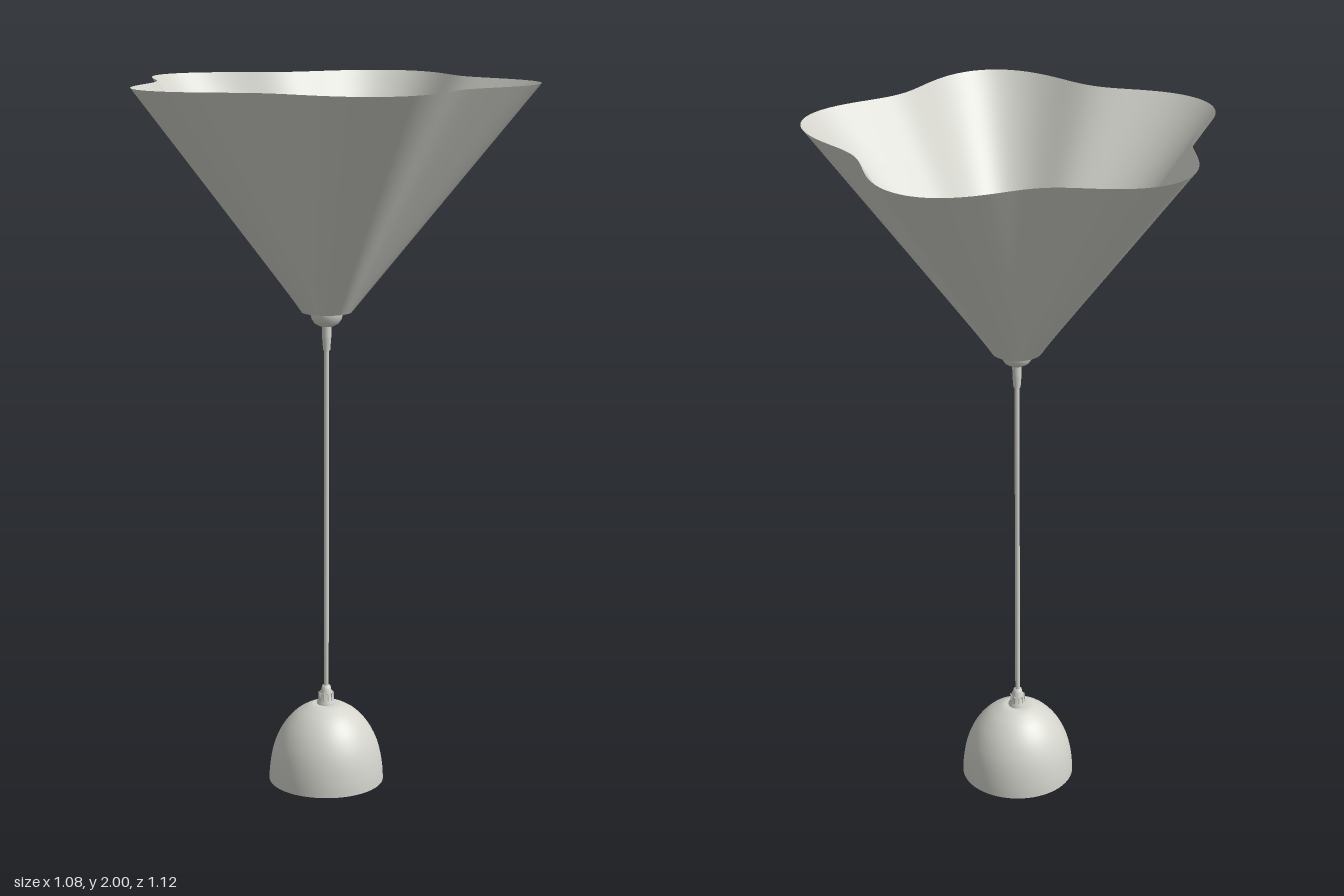
import * as THREE from 'three';

const CX = 0.035; // lamp axis; the lobed rim is not symmetric in x

export function createModel() {
  const model = new THREE.Group();
  const enamel = new THREE.MeshStandardMaterial({ color: 0xd4d4cd, side: THREE.DoubleSide });
  enamel.name = 'warm white enamel';

  const axis = new THREE.Group();
  axis.name = 'pendantLamp';
  axis.position.x = CX;
  model.add(axis);

  const add = (name, geometry, x = 0, y = 0, z = 0) => {
    const mesh = new THREE.Mesh(geometry, enamel);
    mesh.name = name;
    mesh.position.set(x, y, z);
    axis.add(mesh);
    return mesh;
  };
  const lathe = (name, points, segments = 48) =>
    add(name, new THREE.LatheGeometry(points.map(([r, y]) => new THREE.Vector2(r, y)), segments));
  const cylinder = (name, rTop, rBottom, y0, y1, x = 0, z = 0, segments = 32) =>
    add(name, new THREE.CylinderGeometry(rTop, rBottom, y1 - y0, segments), x, (y0 + y1) / 2, z);

  // Shade: straight rulings from a small circle to a five-lobed rim
  const shade = new THREE.CylinderGeometry(1, 1, 1, 200, 12, true);
  const p = shade.attributes.position;
  for (let i = 0; i < p.count; i++) {
    const t = p.getY(i) + 0.5;
    const a = Math.atan2(p.getZ(i), p.getX(i));
    const rim = 0.522 - 0.058 * Math.cos(5 * a);
    const r = THREE.MathUtils.lerp(0.07, rim, t);
    p.setXYZ(i, r * Math.cos(a), THREE.MathUtils.lerp(1.37, 2, t), r * Math.sin(a));
  }
  shade.computeVertexNormals();
  // Average the normals where the wrap-around seam meets
  const n = shade.attributes.normal;
  for (let row = 0; row <= 12; row++) {
    const i = row * 201, j = i + 200;
    const v = new THREE.Vector3().fromBufferAttribute(n, i)
      .add(new THREE.Vector3().fromBufferAttribute(n, j)).normalize();
    n.setXYZ(i, v.x, v.y, v.z);
    n.setXYZ(j, v.x, v.y, v.z);
  }
  add('shade', shade);

  // Seat ring closing the foot of the shade
  const ring = new THREE.RingGeometry(0.038, 0.07, 48);
  ring.rotateX(-Math.PI / 2);
  add('shadeSeat', ring, 0, 1.37, 0);

  // Holder cup under the shade, and the sleeve gripping the rod
  lathe('holderCup', [[0, 1.33], [0.022, 1.331], [0.034, 1.338], [0.042, 1.35], [0.045, 1.362], [0.045, 1.37]]);
  cylinder('sleeve', 0.013, 0.013, 1.3, 1.335);
  cylinder('sleeveTip', 0.013, 0.01, 1.262, 1.3);

  // Bulb socket inside the shade
  lathe('socket', [[0.042, 1.365], [0.042, 1.385], [0.047, 1.387], [0.047, 1.4],
    [0.042, 1.402], [0.042, 1.42], [0.034, 1.42], [0.034, 1.375], [0, 1.375]]);
  add('socketContact', new THREE.BoxGeometry(0.022, 0.012, 0.05), 0, 1.381, 0);
  for (const s of [-1, 1]) cylinder('socketScrew', 0.005, 0.005, 1.375, 1.385, s * 0.022, 0, 12);

  // Suspension rod
  cylinder('rod', 0.007, 0.007, 0.2, 1.27, 0, 0, 24);

  // Cord grip on top of the bell
  lathe('cordGrip', [[0.027, 0.222], [0.027, 0.232], [0.022, 0.238], [0.019, 0.255],
    [0.014, 0.27], [0.012, 0.28], [0.007, 0.281]], 32);
  const knurls = 10;
  for (let i = 0; i < knurls; i++) {
    const a = (i / knurls) * Math.PI * 2;
    const rib = add('gripRib', new THREE.BoxGeometry(0.004, 0.024, 0.004),
      0.02 * Math.cos(a), 0.248, 0.02 * Math.sin(a));
    rib.rotation.y = -a;
  }

  // Bell canopy, open at the bottom
  const bell = new THREE.SplineCurve([[0.165, 0], [0.163, 0.035], [0.156, 0.08], [0.143, 0.122],
    [0.121, 0.163], [0.09, 0.198], [0.058, 0.219], [0.04, 0.226]].map(([r, y]) => new THREE.Vector2(r, y)));
  lathe('bellCanopy', [...bell.getPoints(28).map((v) => [v.x, v.y]), [0.02, 0.227], [0.006, 0.227]], 64);

  // Fixing nut and cross bar inside the bell
  cylinder('fixingNut', 0.02, 0.02, 0.205, 0.224, 0, 0, 6);
  add('crossBar', new THREE.BoxGeometry(0.11, 0.005, 0.016), 0, 0.19, 0);

  return model;
}
